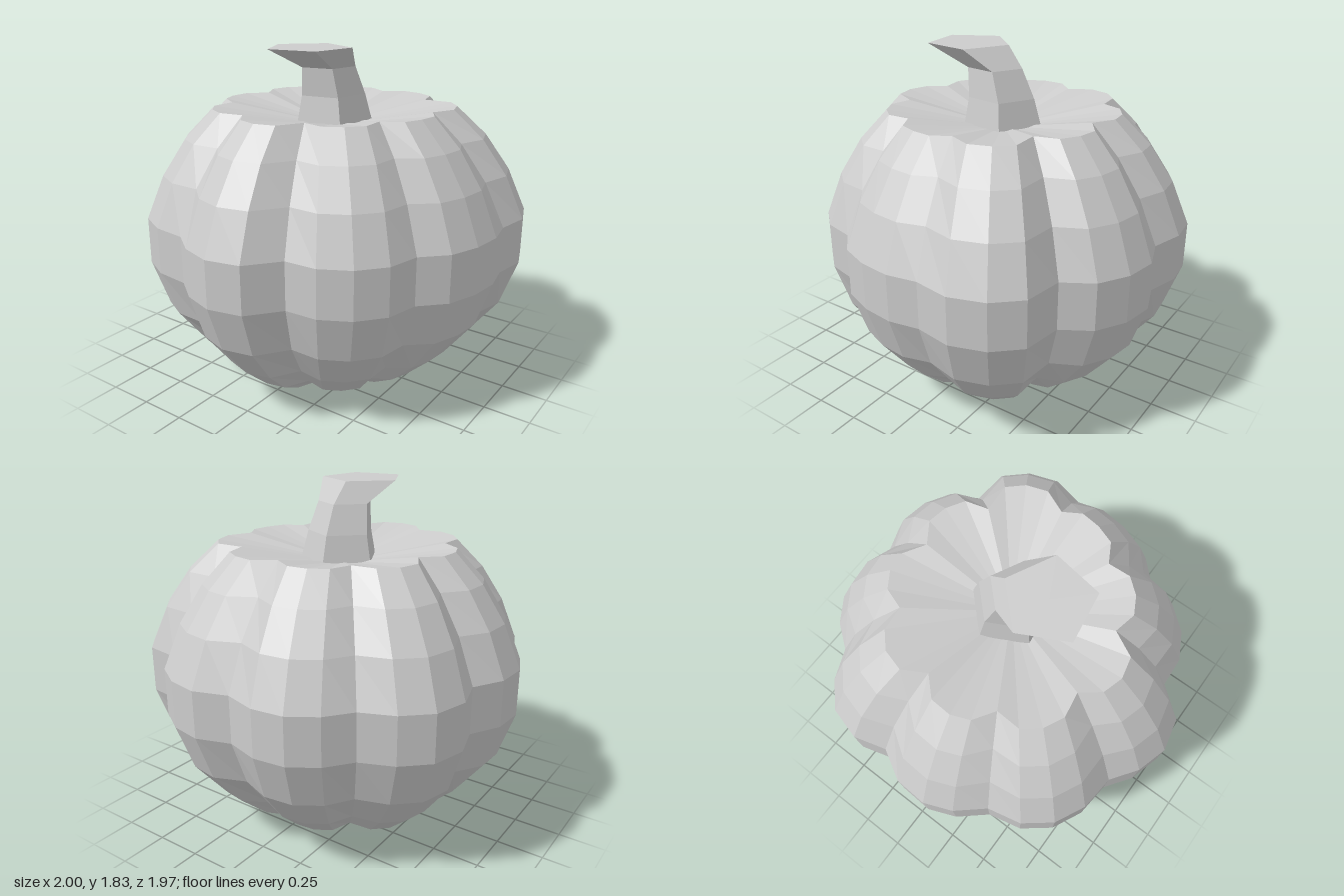
import * as THREE from 'three';

const greyClay = new THREE.MeshStandardMaterial({ color: 0xcccccc });

// Faceted skin over stacked rings of [x, y, z], fanned shut to a centre point at each end
function loft(rings, bottom, top) {
  const n = rings[0].length, pos = [];
  const tri = (...pts) => pts.forEach((p) => pos.push(...p));
  for (let j = 0; j < n; j++) {
    const k = (j + 1) % n;
    for (let i = 0; i < rings.length - 1; i++) {
      const lo = rings[i], hi = rings[i + 1];
      tri(lo[j], hi[j], hi[k]);
      tri(lo[j], hi[k], lo[k]);
    }
    const first = rings[0], last = rings[rings.length - 1];
    tri(first[j], first[k], bottom);
    tri(last[j], top, last[k]);
  }
  const g = new THREE.BufferGeometry();
  g.setAttribute('position', new THREE.Float32BufferAttribute(pos, 3));
  g.computeVertexNormals();
  return g;
}

// Widest outline (x, z): nine uneven lobes, each row starting in a groove
const outline = [
  [0.20, -0.89], [0.38, -0.94], [0.56, -0.89], [0.68, -0.76],
  [0.75, -0.59], [0.88, -0.49], [0.97, -0.35], [0.99, -0.18],
  [0.94, 0.00], [1.00, 0.18], [0.97, 0.35], [0.88, 0.50],
  [0.73, 0.59], [0.70, 0.80], [0.57, 0.92], [0.39, 0.98],
  [0.20, 0.95], [0.04, 0.98], [-0.13, 0.96], [-0.29, 0.90],
  [-0.41, 0.78], [-0.58, 0.74], [-0.71, 0.63], [-0.79, 0.48],
  [-0.80, 0.31], [-0.96, 0.18], [-1.00, 0.00], [-0.95, -0.17],
  [-0.85, -0.31], [-0.83, -0.50], [-0.75, -0.66], [-0.61, -0.77],
  [-0.43, -0.81], [-0.29, -0.93], [-0.14, -0.99], [0.04, -0.98],
];

// Body profile: height and scale of the outline
const profile = [
  [0, 0.44], [0.085, 0.59], [0.23, 0.75], [0.44, 0.915], [0.69, 1],
  [0.94, 1], [1.17, 0.905], [1.36, 0.78], [1.51, 0.63],
];

// Stem rings: centre x, height, radius
const stemRings = [
  [0.03, 1.41, 0.218], [0.02, 1.57, 0.18], [-0.022, 1.72, 0.149], [-0.19, 1.83, 0.225],
];

export function createModel() {
  const group = new THREE.Group();
  const add = (name, geometry) => {
    const mesh = new THREE.Mesh(geometry, greyClay);
    mesh.name = name;
    group.add(mesh);
  };

  // Lobed body; grooves deepen towards the narrow ends, and the top is dished
  const bodyRings = profile.map(([y, s]) => outline.map(([x, z], j) => {
    const f = j % 4 === 0 ? s * (1 - 0.17 * (1 - s)) : s;
    return [x * f, y, z * f];
  }));
  add('pumpkinBody', loft(bodyRings, [0.02, 0.04, 0], [0.02, 1.4, 0]));

  // Bent five-sided stem flaring to a flat cut
  const rings = stemRings.map(([cx, y, r]) => Array.from({ length: 5 }, (_, i) => {
    const a = THREE.MathUtils.degToRad(-9 + 72 * i);
    return [cx + r * Math.cos(a), y, r * Math.sin(a)];
  }));
  add('stem', loft(rings, [0.03, 1.41, 0], [-0.19, 1.83, 0]));

  return group;
}
